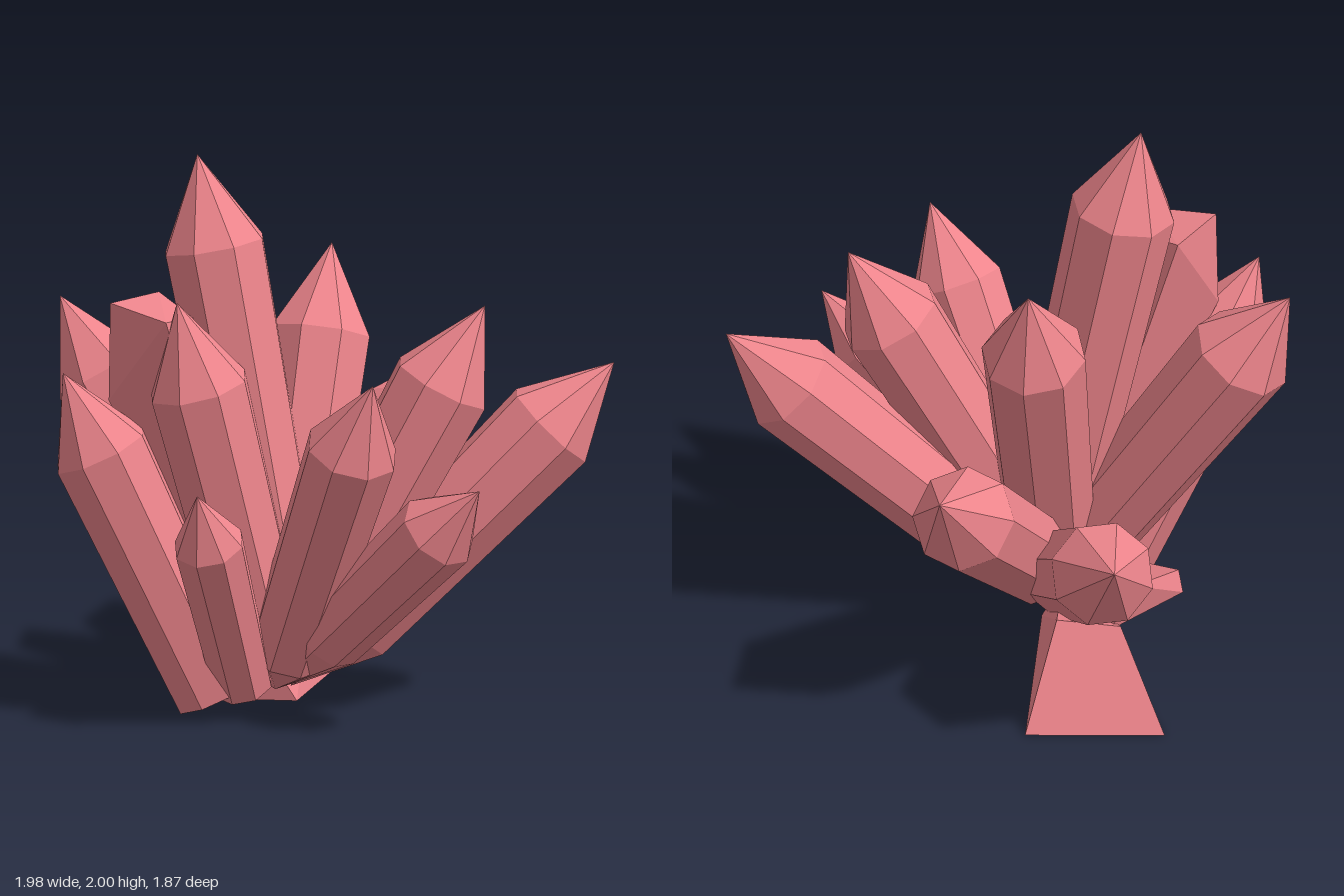
import * as THREE from 'three';
import { ConvexGeometry } from 'three/addons/geometries/ConvexGeometry.js';

const UP = new THREE.Vector3(0, 1, 0);
const ROOT = [-0.1, 0.08, 0.36];

// Eight-sided crystal: pointed root, slightly flaring shaft, pointed tip.
// foot is the length of the pointed root.
function crystal(name, material, tip, r, root = ROOT, foot = 0.28) {
  const a = new THREE.Vector3(...root);
  const axis = new THREE.Vector3(...tip).sub(a);
  const len = axis.length();
  const profile = [
    [0, 0],
    [r * 0.86, foot],
    [r, len - r * 1.75],
    [0, len],
  ].map(([x, y]) => new THREE.Vector2(x, y));
  const mesh = new THREE.Mesh(new THREE.LatheGeometry(profile, 8), material);
  mesh.name = name;
  mesh.position.copy(a);
  mesh.quaternion.setFromUnitVectors(UP, axis.normalize());
  return mesh;
}

// Blunt broken shard enclosed by a few corner points
function shard(name, material, corners) {
  const mesh = new THREE.Mesh(
    new ConvexGeometry(corners.map((c) => new THREE.Vector3(...c))), material);
  mesh.name = name;
  return mesh;
}

export function createModel() {
  const group = new THREE.Group();
  group.name = 'crystalCluster';
  const material = new THREE.MeshStandardMaterial({ color: 0xee858c, flatShading: true });

  // Crystals fanning out of the root: name, tip, radius, own root, foot length
  const crystals = [
    ['tallCrystal', [-0.43, 2.0, 0.29], 0.19, [-0.05, 0.1, 0.3]],
    ['rightCrystal', [-0.99, 1.42, 0.22], 0.19],
    ['frontRightCrystal', [-0.77, 1.26, 0.73], 0.18, [-0.26, 0.05, 0.49], 0.03],
    ['frontCrystal', [-0.37, 1.53, 0.63], 0.185],
    ['frontLeftCrystal', [0.44, 1.32, 0.76], 0.17, ROOT, 0.17],
    ['leftCrystal', [0.6, 1.49, 0.09], 0.185],
    ['smallFrontCrystal', [-0.17, 0.9, 0.93], 0.13, [-0.17, 0.05, 0.46], 0.08],
    ['lowLeftCrystal', [0.82, 0.95, 0.68], 0.15, ROOT, 0.34],
    ['farLeftCrystal', [0.99, 1.26, -0.18], 0.185, [-0.07, 0.08, 0.29], 0.32],
    ['backCrystal', [-0.13, 1.59, -0.25], 0.19],
    ['lowBackRightCrystal', [-0.59, 0.9, -0.94], 0.19],
    ['lowBackCrystal', [0.06, 1.08, -0.89], 0.19],
  ];
  for (const [name, tip, r, root, foot] of crystals) {
    group.add(crystal(name, material, tip, r, root, foot));
  }

  // Flat-topped shard between the tall crystals
  group.add(shard('upperShard', material, [
    [-0.64, 1.5, 0.6], [-0.55, 1.5, 0.36], [-0.36, 1.45, 0.5], [-0.4, 1.46, 0.66],
    [-0.65, 1.14, 0.59], [-0.15, 0.15, 0.32], [-0.1, 0.15, 0.42], [-0.2, 0.15, 0.4],
  ]));

  // Short blunt shard low at the back right
  group.add(shard('lowerShard', material, [
    [-0.67, 0.49, -0.2], [-0.69, 0.41, -0.22], [-0.54, 0.5, -0.36], [-0.46, 0.32, -0.38],
    [-0.45, 0.4, -0.02], [-0.15, 0.12, 0.3], [-0.1, 0.2, 0.25], [-0.2, 0.2, 0.3],
  ]));

  // Wedge lying on the ground, wide end to the back
  group.add(shard('groundWedge', material, [
    [-0.69, 0, -0.54], [-0.2, 0, -0.64], [-0.5, 0.35, -0.4], [-0.27, 0.36, -0.42],
    [-0.09, 0, 0.18], [-0.24, 0, 0.22], [-0.16, 0.13, 0.22],
  ]));

  return group;
}
